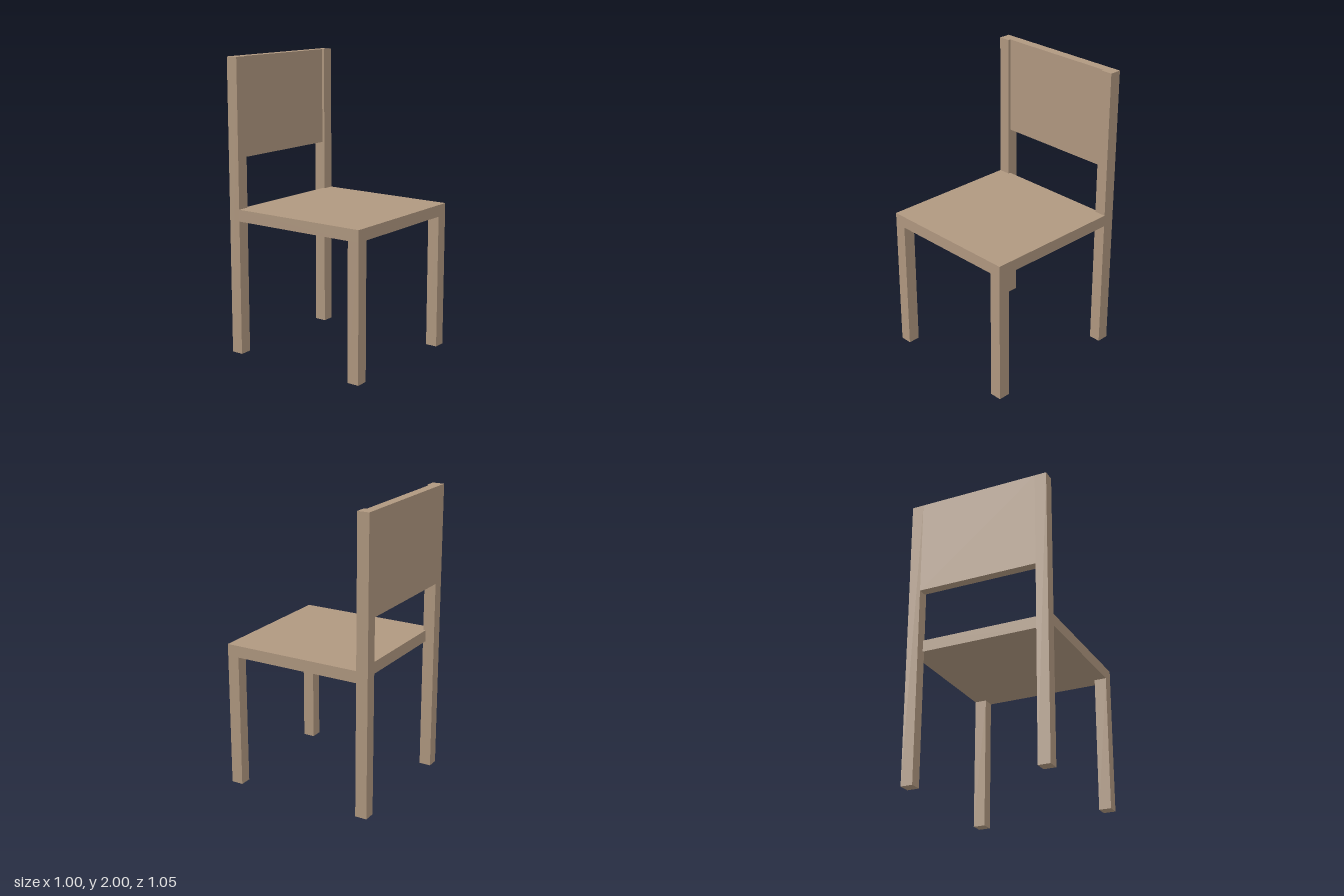
import * as THREE from 'three';

export function createModel() {
  const chair = new THREE.Group();
  chair.name = 'chair';

  const wood = new THREE.MeshStandardMaterial({ color: 0xb09880 });
  wood.name = 'wood';

  const W = 0.5, D = 0.527;            // half width and half depth
  const post = 0.082;                  // leg thickness
  const inner = W - post;              // inner face of the legs
  const seatTop = 1, seatBottom = 0.92;
  const panelDepth = 0.064;
  const panelFront = -D + panelDepth;

  // Box given by its minimum and maximum corners
  function box(name, [x0, y0, z0], [x1, y1, z1]) {
    const geometry = new THREE.BoxGeometry(x1 - x0, y1 - y0, z1 - z0);
    geometry.translate((x0 + x1) / 2, (y0 + y1) / 2, (z0 + z1) / 2);
    const mesh = new THREE.Mesh(geometry, wood);
    mesh.name = name;
    chair.add(mesh);
  }

  // Legs; the back ones rise to carry the backrest
  for (const [side, x0, x1] of [['Left', inner, W], ['Right', -W, -inner]]) {
    box('front' + side + 'Leg', [x0, 0, D - post], [x1, seatBottom, D]);
    box('back' + side + 'Post', [x0, 0, -D], [x1, 2, -D + post]);
  }

  // Backrest panel, flush with the rear of the posts
  box('backrest', [-inner, 1.338, -D], [inner, 2, panelFront]);

  // Seat, notched at the back to fit between the posts (outline in x, -z)
  const outline = new THREE.Shape([
    [-W, -D], [W, -D], [W, D - post], [inner, D - post],
    [inner, -panelFront], [-inner, -panelFront], [-inner, D - post], [-W, D - post],
  ].map(([x, y]) => new THREE.Vector2(x, y)));
  const seatGeometry = new THREE.ExtrudeGeometry(outline, {
    depth: seatTop - seatBottom, bevelEnabled: false,
  });
  seatGeometry.rotateX(-Math.PI / 2).translate(0, seatBottom, 0);
  const seat = new THREE.Mesh(seatGeometry, wood);
  seat.name = 'seat';
  chair.add(seat);

  return chair;
}
